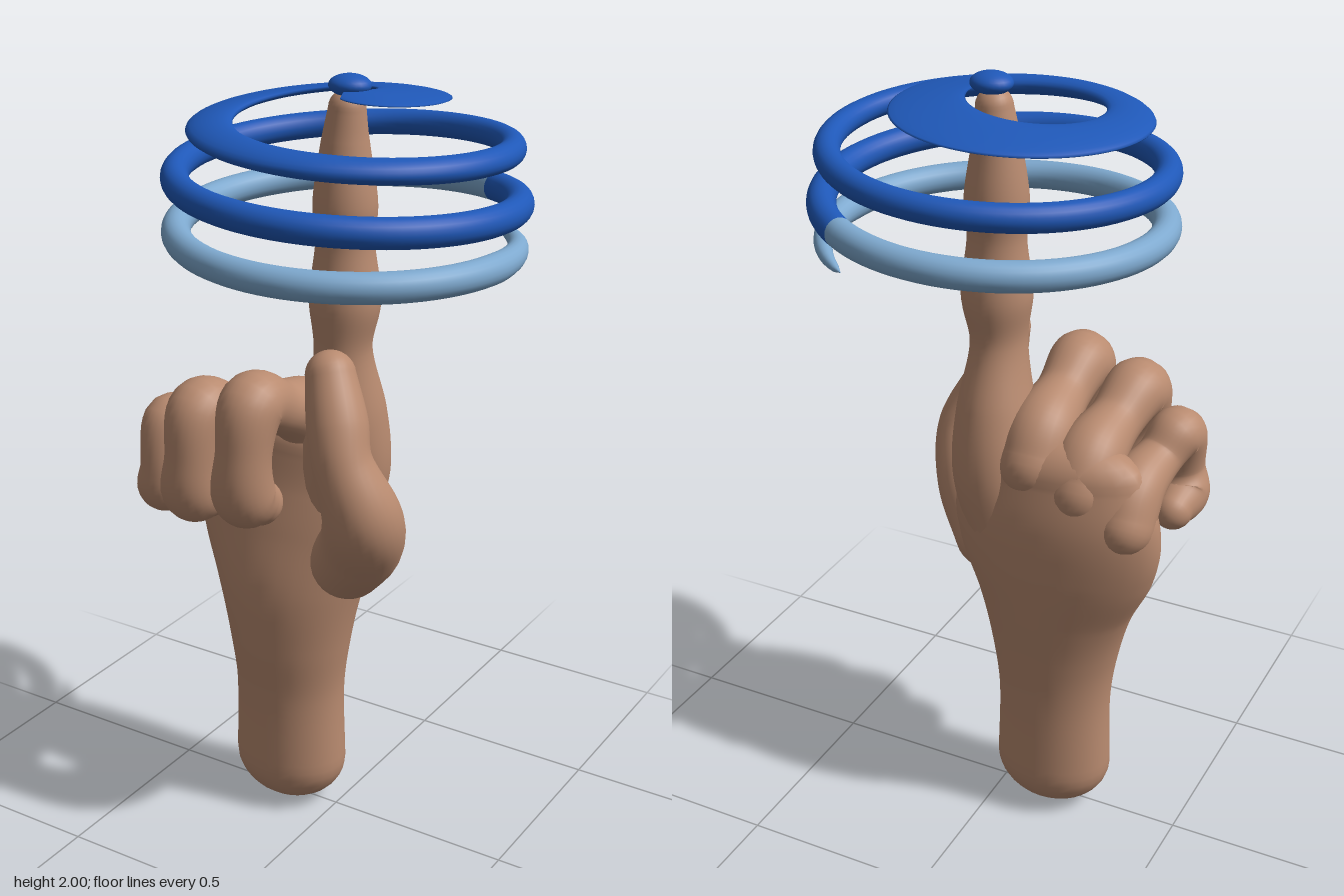
import * as THREE from 'three';

const mat = (name, color) => {
  const m = new THREE.MeshStandardMaterial({ color });
  m.name = name;
  return m;
};
const X = new THREE.Vector3(1, 0, 0);

// Closed-section skin: each ring is { c, u, v } (centre and two half axes)
function skin(rings, sides = 28) {
  const pos = [], index = [];
  for (const { c, u, v } of rings)
    for (let j = 0; j < sides; j++) {
      const a = (j / sides) * Math.PI * 2;
      const p = c.clone().addScaledVector(u, Math.cos(a)).addScaledVector(v, Math.sin(a));
      pos.push(p.x, p.y, p.z);
    }
  for (let i = 0; i < rings.length - 1; i++)
    for (let j = 0; j < sides; j++) {
      const k = (j + 1) % sides;
      const a = i * sides + j, b = i * sides + k;
      index.push(a, b, b + sides, a, b + sides, a + sides);
    }
  const g = new THREE.BufferGeometry();
  g.setAttribute('position', new THREE.Float32BufferAttribute(pos, 3));
  g.setIndex(index);
  g.computeVertexNormals();
  return g;
}

// Round-ended limb through rows of [x, y, z, halfWidth, halfDepth]
function limb(rows) {
  const path = new THREE.CatmullRomCurve3(rows.map(r => new THREE.Vector3(r[0], r[1], r[2])));
  const size = new THREE.CatmullRomCurve3(rows.map(r => new THREE.Vector3(r[3], r[4] ?? r[3], 0)), false, 'catmullrom');
  const rings = [];
  const add = (t, ang) => {
    const T = path.getTangent(t), s = size.getPoint(t);
    const V = new THREE.Vector3().crossVectors(T, X).normalize();
    const U = new THREE.Vector3().crossVectors(V, T);
    const k = Math.max(Math.cos(ang), 0.001);
    const c = path.getPoint(t).addScaledVector(T, Math.min(s.x, s.y) * Math.sin(ang));
    rings.push({ c, u: U.multiplyScalar(s.x * k), v: V.multiplyScalar(s.y * k) });
  };
  const caps = 8, n = rows.length * 8;
  for (let i = caps; i > 0; i--) add(0, (-i / caps) * Math.PI / 2);
  for (let i = 0; i <= n; i++) add(i / n, 0);
  for (let i = 1; i <= caps; i++) add(1, (i / caps) * Math.PI / 2);
  return skin(rings);
}

// Spiral keys every 90 degrees from -90: [outer radius, inner radius, y, half thickness, inner lift]
const KEYS = [
  [.44, .37, 1.59, .036, 0], [.44, .37, 1.605, .036, 0], [.44, .37, 1.62, .036, 0],
  [.44, .37, 1.65, .036, 0], [.44, .37, 1.68, .036, 0], [.44, .37, 1.715, .036, 0],
  [.44, .37, 1.75, .035, 0], [.435, .37, 1.78, .034, 0], [.43, .365, 1.812, .032, 0],
  [.41, .345, 1.84, .03, .004], [.39, .30, 1.865, .024, .015], [.36, .23, 1.89, .014, .025],
  [.30, .11, 1.92, .008, .03], [.195, .03, 1.945, .006, .02], [.05, .002, 1.96, .004, .005],
];
const START = -57, END = 1150;
const edges = new THREE.CatmullRomCurve3(KEYS.map(k => new THREE.Vector3(k[0], k[1], k[2])), false, 'catmullrom');
const shape = new THREE.CatmullRomCurve3(KEYS.map(k => new THREE.Vector3(k[3], k[4], 0)), false, 'catmullrom');

function spiral(from, to) {
  const rings = [];
  const n = Math.ceil((to - from) / 4);
  for (let i = 0; i <= n; i++) {
    const deg = from + ((to - from) * i) / n;
    const t = (deg + 90) / 90 / (KEYS.length - 1);
    const e = edges.getPoint(t), s = shape.getPoint(t);
    // the lower end tapers to a point
    const taper = Math.max(0.01, Math.min(1, Math.sqrt((deg - START) / 60)));
    const a = THREE.MathUtils.degToRad(deg);
    const mid = (e.x + e.y) / 2, half = ((e.x - e.y) / 2) * taper;
    const dir = new THREE.Vector3(Math.cos(a), 0, Math.sin(a));
    const c = dir.clone().multiplyScalar(mid);
    c.x += 0.03;
    c.y = e.z + s.y / 2;
    const u = dir.multiplyScalar(half);
    u.y = -s.y / 2;
    rings.push({ c, u, v: new THREE.Vector3(0, s.x * taper, 0) });
  }
  return skin(rings, 20);
}

export function createModel() {
  const model = new THREE.Group();
  const skinTone = mat('skin brown', 0xb98b70);
  const blue = mat('deep blue', 0x1f58b8);
  const paleBlue = mat('pale blue', 0x7ea9cf);
  const add = (name, geometry, material) => {
    const m = new THREE.Mesh(geometry, material);
    m.name = name;
    model.add(m);
    return m;
  };

  // Forearm, wrist and palm
  add('forearmAndPalm', limb([
    [-.145, .13, 0, .157, .125], [-.145, .35, 0, .153, .123], [-.145, .5, 0, .173, .135],
    [-.15, .65, -.01, .21, .145], [-.16, .8, -.035, .265, .137],
    [-.165, .92, -.05, .275, .122], [-.16, 1.04, -.05, .24, .10],
  ]), skinTone);

  // Raised index finger
  add('indexFinger', limb([
    [-.03, .85, -.05, .1], [0, 1, -.045, .115], [.015, 1.15, -.025, .1, .108],
    [.02, 1.33, 0, .07, .078], [.025, 1.46, 0, .088], [.025, 1.6, 0, .072],
    [.025, 1.7, 0, .078], [.025, 1.84, 0, .058], [.03, 1.92, 0, .045],
  ]), skinTone);

  // Thumb
  add('thumb', limb([
    [.05, .77, .02, .1], [.13, .87, .09, .105], [.175, .98, .165, .098],
    [.135, 1.12, .19, .074], [.105, 1.21, .165, .075], [.065, 1.31, .13, .062],
  ]), skinTone);

  // Curled fingers: [name, x, knuckle x, drop, thickness]
  for (const [name, x, kx, drop, k] of [
    ['middleFinger', -.115, -.11, 0, 1],
    ['ringFinger', -.27, -.24, .045, 1],
    ['littleFinger', -.4, -.355, .115, .85],
  ]) {
    const shift = k < 1 ? -.05 : 0;
    add(name, limb([
      [kx, 1.06 - drop, -.07, .09 * k], [kx, 1.13 - drop, -.02, .09 * k],
      [(x + kx) / 2, 1.18 - drop, .09, .07 * k], [x, 1.22 - drop, .2 + shift, .082 * k],
      [x, 1.11 - drop, .24 + shift, .07 * k], [x - .012, .99 - drop * .5, .225 + shift, .08 * k],
      [x - .012, .945 - drop * .3, .16 + shift, .06 * k],
    ]), skinTone);
  }

  // Coiled ring: pale lower turn, deep blue upper turns widening into a sheet
  add('lowerCoil', spiral(START, 303), paleBlue);
  add('upperCoil', spiral(303, END), blue);

  // Small cap over the fingertip
  const cap = add('fingertipCap', new THREE.SphereGeometry(.052, 24, 16), blue);
  cap.scale.set(1, .5, .9);
  cap.position.set(.037, 1.974, 0);

  return model;
}
